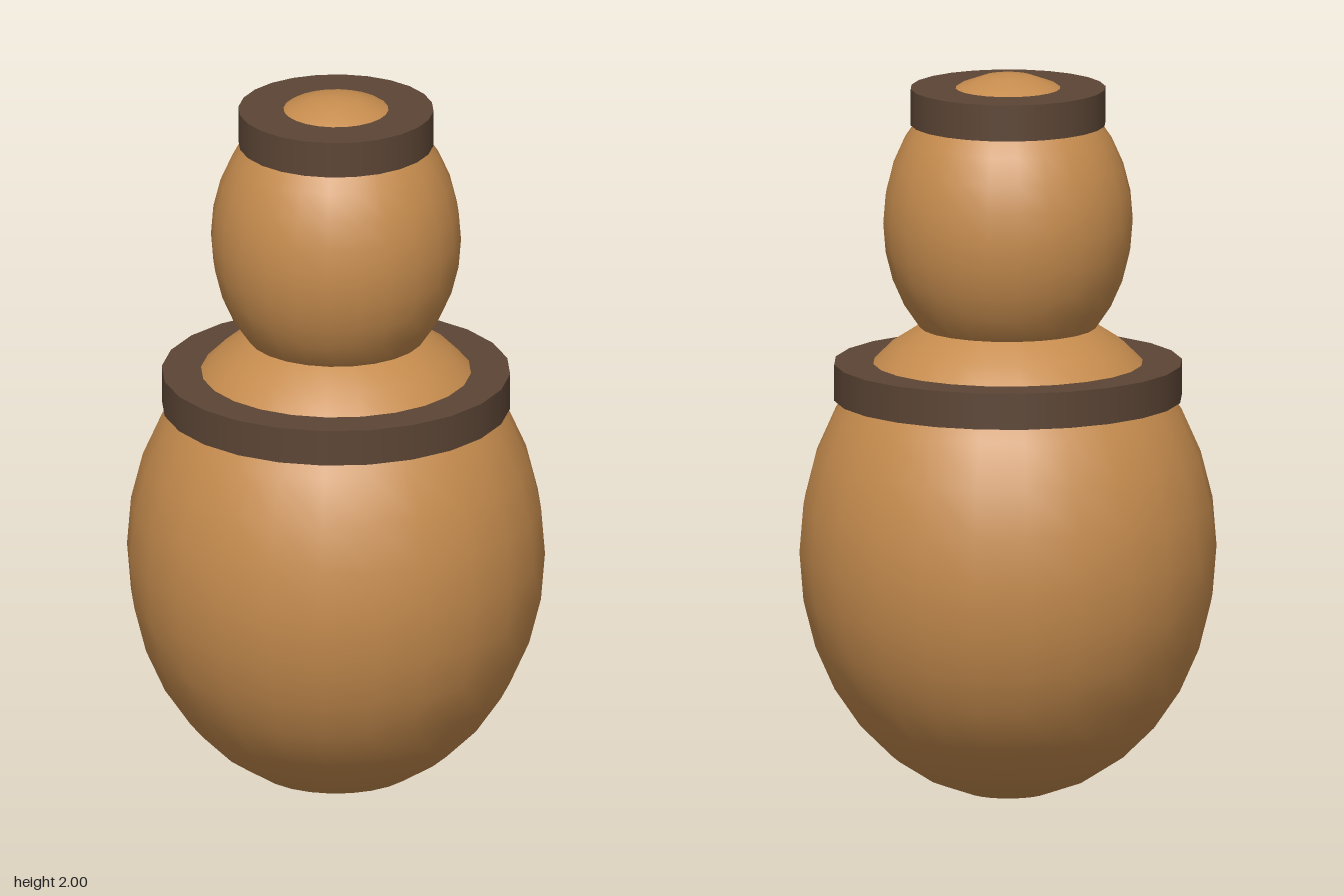
import * as THREE from 'three';

export function createModel() {
  const group = new THREE.Group();
  const tan = new THREE.MeshStandardMaterial({ color: 0xc68c4e });
  tan.name = 'tan';
  const darkBrown = new THREE.MeshStandardMaterial({ color: 0x5c4535 });
  darkBrown.name = 'darkBrown';

  const add = (name, geometry, material, y) => {
    const mesh = new THREE.Mesh(geometry, material);
    mesh.name = name;
    mesh.position.y = y;
    group.add(mesh);
  };

  // Upright egg shapes, 1.2 times as tall as wide
  const egg = (r) => new THREE.SphereGeometry(r, 24, 16).scale(1, 1.2, 1);
  add('lowerBulb', egg(0.57), tan, 0.684);
  add('upperBulb', egg(0.341), tan, 1.591);

  // Flat bands around the shoulder and the top
  const band = (r) => new THREE.CylinderGeometry(r, r, 0.1, 24);
  add('shoulderBand', band(0.475), darkBrown, 1.152);
  add('topBand', band(0.266), darkBrown, 1.911);

  return group;
}
